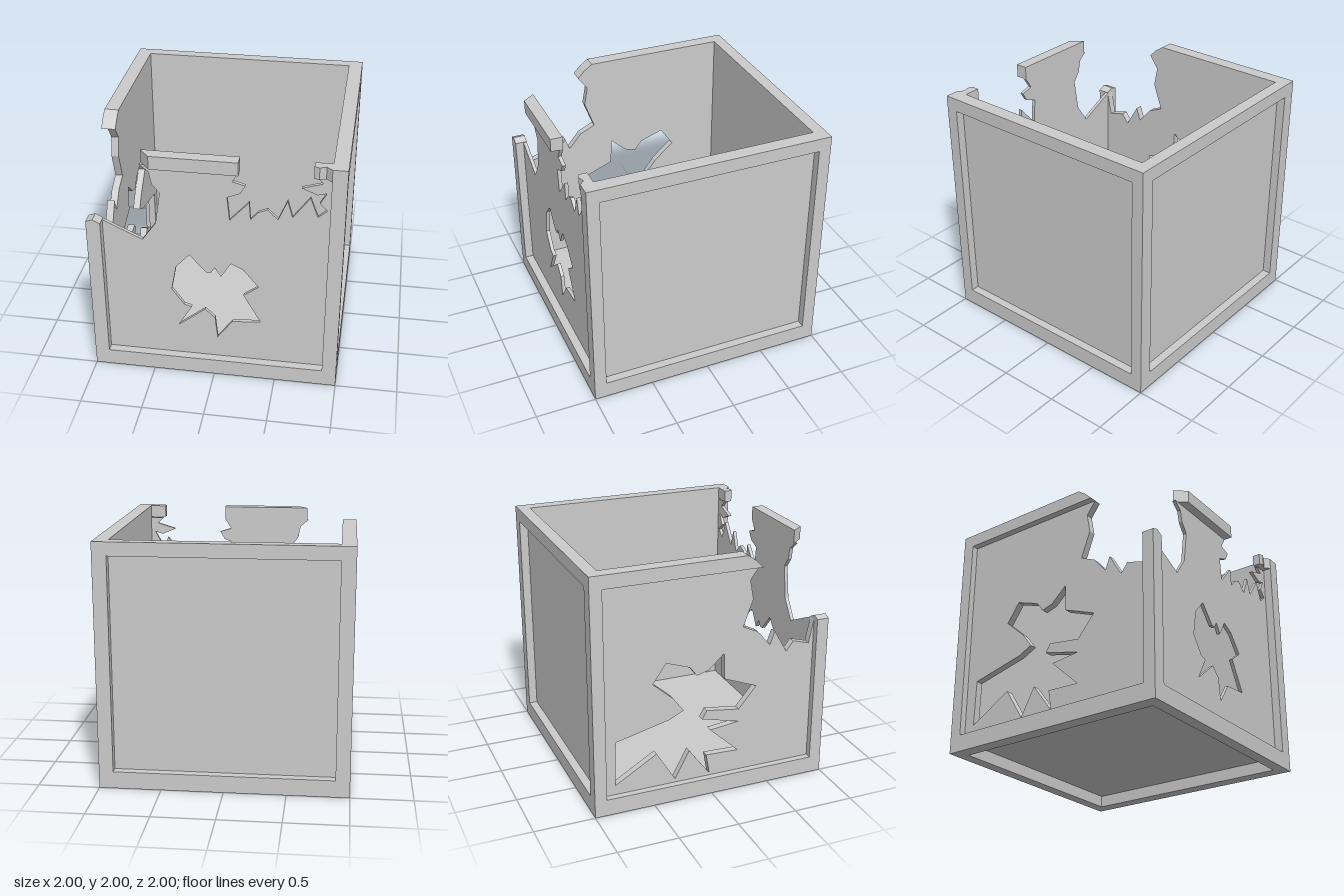
import * as THREE from 'three';

const material = new THREE.MeshStandardMaterial({ color: 0xcccccc, flatShading: true });
const IN = 0.885; // inner edge of the posts and rails
const LOW = 0.14; // top of the bottom rails
const HIGH = 1.89; // underside of the top rails

const points = (list) => list.map(([x, y]) => new THREE.Vector2(x, y));

export function createModel() {
  const crate = new THREE.Group();
  crate.name = 'brokenCrate';

  function add(name, geometry) {
    const mesh = new THREE.Mesh(geometry, material);
    mesh.name = name;
    crate.add(mesh);
    return mesh;
  }

  // Box given by its two opposite corners
  function box(name, [x0, y0, z0], [x1, y1, z1]) {
    const mesh = add(name, new THREE.BoxGeometry(x1 - x0, y1 - y0, z1 - z0));
    mesh.position.set((x0 + x1) / 2, (y0 + y1) / 2, (z0 + z1) / 2);
  }

  // Flat plate cut from an outline, with optional holes
  function plate(outline, depth, holes = []) {
    const shape = new THREE.Shape(points(outline));
    holes.forEach((hole) => shape.holes.push(new THREE.Path(points(hole))));
    return new THREE.ExtrudeGeometry(shape, { depth, bevelEnabled: false });
  }

  // Three whole corner posts
  box('backPost', [-1, 0, -1], [-IN, 2, -0.9]);
  box('backPost', [IN, 0, -1], [1, 2, -0.9]);
  box('frontPost', [IN, 0, 0.9], [1, 2, 1]);

  // Front post snapped off with a small peak
  add('brokenPost', plate([[-1, 0], [-IN, 0], [-IN, 1.375], [-0.945, 1.405], [-1, 1.385]], 0.1)
    .translate(0, 0, 0.9));

  // Bottom rails
  for (const s of [-1, 1]) {
    box('bottomRail', [-IN, 0, s > 0 ? 0.9 : -1], [IN, LOW, s > 0 ? 1 : -0.9]);
    box('bottomSideRail', [s > 0 ? IN : -1, 0, -0.9], [s > 0 ? 1 : -IN, LOW, 0.9]);
  }

  // Whole top rails
  box('topBackRail', [-IN, HIGH, -1], [IN, 2, -0.9]);
  box('topSideRail', [IN, HIGH, -0.9], [1, 2, 0.9]);

  // Broken top side rail with a slanted end
  add('brokenSideRail', plate([[-0.9, HIGH], [0.4, HIGH], [0.34, 1.95], [0.27, 2], [-0.9, 2]], 0.115)
    .rotateY(-Math.PI / 2).translate(-IN, 0, 0));

  // Remaining middle piece of the top front rail, slanted on one end
  add('brokenFrontRail', plate([[-0.56, 0.9], [0.195, 0.9], [0.195, 1], [-0.48, 1]], 0.11)
    .rotateX(Math.PI / 2).translate(0, 2, 0));

  // Chipped stub of the top front rail beside the whole post
  add('railStub', plate([[0.75, 0.9], [IN, 0.9], [IN, 1], [0.84, 0.96], [0.79, 0.98], [0.75, 0.965]], 0.1)
    .rotateX(Math.PI / 2).translate(0, 2, 0));

  // Whole recessed panels and floor
  box('backPanel', [-IN, LOW, -0.93], [IN, HIGH, -0.9]);
  box('sidePanel', [IN, LOW, -0.9], [0.93, HIGH, 0.9]);
  box('floor', [-IN, 0.1, -0.9], [IN, LOW, 0.9]);

  // Front panel: two jagged notches along the top and one ragged hole
  const frontOutline = [
    [-IN, LOW], [IN, LOW], [IN, HIGH], [0.77, HIGH], [0.82, 1.84], [0.66, 1.79], [0.78, 1.74],
    [0.85, 1.76], [0.8, 1.67], [0.86, 1.61], [0.79, 1.55], [0.73, 1.71], [0.6, 1.53],
    [0.56, 1.67], [0.49, 1.5], [0.41, 1.58], [0.34, 1.55], [0.28, 1.48], [0.27, 1.63],
    [0.12, 1.46], [0.1, 1.66], [0.2, 1.7], [0.24, 1.77], [0.14, 1.8], [0.195, HIGH],
    [-0.57, HIGH], [-0.5, 1.83], [-0.48, 1.73], [-0.42, 1.65], [-0.46, 1.38],
    [-0.57, 1.22], [-IN, 1.37],
  ];
  const frontHole = [
    [-0.2, 1.11], [-0.07, 0.96], [-0.03, 0.96], [0, 1.01], [0.05, 0.93], [0.13, 1.06],
    [0.23, 1.01], [0.35, 0.86], [0.23, 0.77], [0.37, 0.52], [0.14, 0.5], [0.02, 0.33],
    [0, 0.52], [-0.08, 0.6], [-0.3, 0.42], [-0.19, 0.61], [-0.25, 0.63], [-0.35, 0.77], [-0.31, 0.99],
  ];
  add('brokenFrontPanel', plate(frontOutline, 0.03, [frontHole]).translate(0, 0, 0.9));

  // Broken side panel, drawn as depth against height
  const sideOutline = [
    [-0.9, LOW], [0.9, LOW], [0.9, 1.37], [0.86, 1.17], [0.72, 1.21], [0.66, 1.13], [0.55, 1.32],
    [0.51, 1.21], [0.4, 1.34], [0.27, 1.4], [0.35, 1.62], [0.32, 1.78], [0.4, HIGH], [-0.9, HIGH],
  ];
  const sideHole = [
    [-0.81, 0.22], [-0.46, 0.43], [-0.3, 0.13 + 0.04], [-0.18, 0.4], [0, 0.16], [-0.03, 0.33],
    [0.25, 0.32], [0, 0.55], [0.25, 0.58], [-0.07, 0.66], [-0.03, 0.73], [0.25, 0.69],
    [0.4, 0.87], [0.12, 0.98], [0.11, 1.2], [-0.02, 1.08], [-0.12, 1.05], [-0.18, 1.13],
    [-0.38, 1.2], [-0.49, 1.04], [-0.32, 0.89], [-0.23, 0.77], [-0.35, 0.71], [-0.8, 0.6],
  ];
  add('brokenSidePanel', plate(sideOutline, 0.06, [sideHole])
    .rotateY(-Math.PI / 2).translate(-IN, 0, 0));

  return crate;
}
